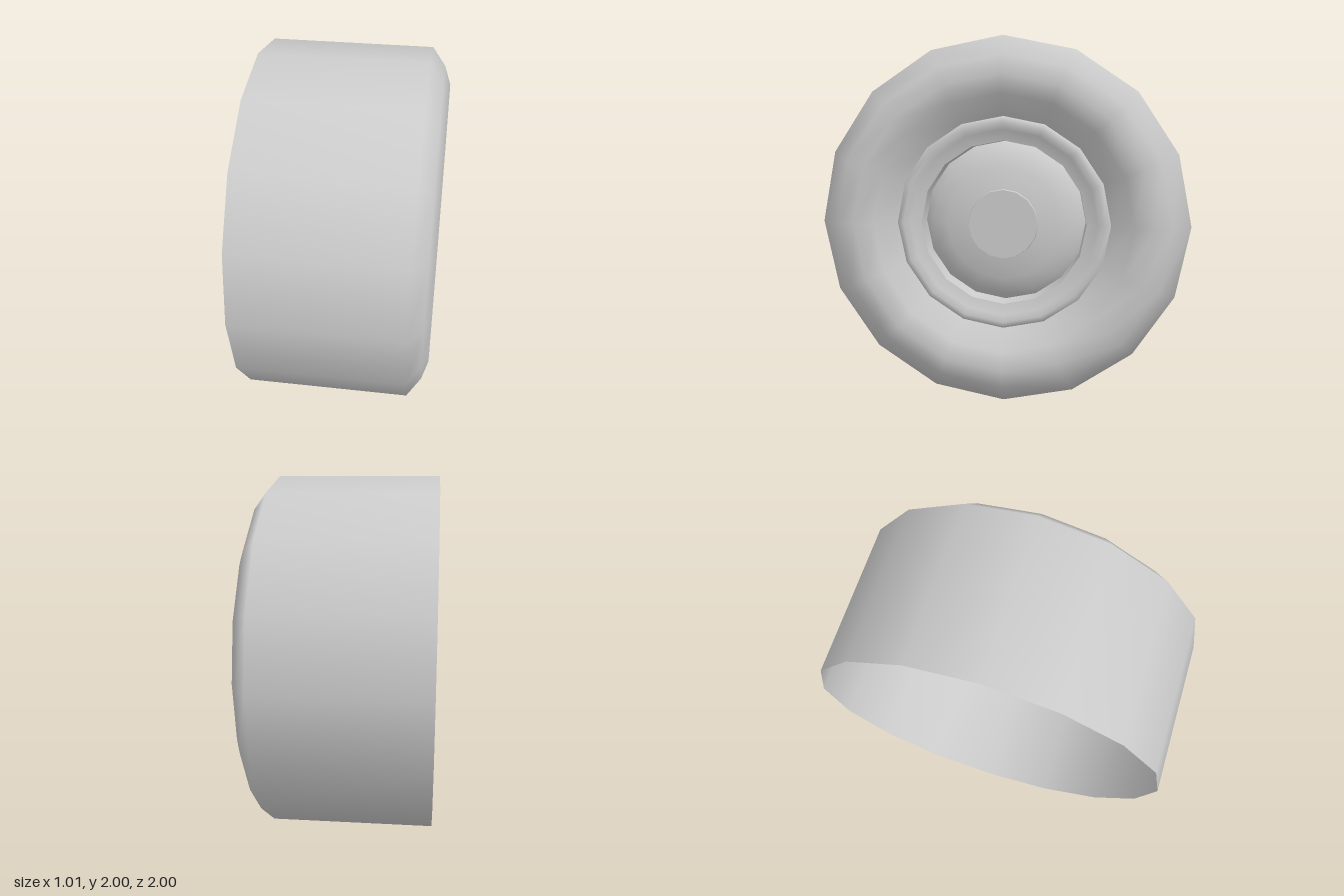
import * as THREE from 'three';

const SIDES = 16;

// Revolves a profile of [radius, x] pairs about the wheel's x axis.
// Profiles run from the open back towards the hub so that faces point outward;
// every part is an open shell, so both sides are shown.
function revolve(name, profile) {
  const points = profile.map(([r, x]) => new THREE.Vector2(r, x));
  const geometry = new THREE.LatheGeometry(points, SIDES);
  geometry.rotateZ(-Math.PI / 2);
  const material = new THREE.MeshStandardMaterial({ color: 0xcccccc, side: THREE.DoubleSide });
  const mesh = new THREE.Mesh(geometry, material);
  mesh.name = name;
  return mesh;
}

export function createModel() {
  const wheel = new THREE.Group();
  wheel.name = 'wheel';

  // Open-backed tyre: tread, rounded shoulder, sidewall sloping in to the rim
  wheel.add(revolve('tyre', [
    [1, -0.505], [1, 0.395], [0.9, 0.47], [0.8, 0.505], [0.7, 0.475], [0.58, 0.39],
  ]));

  // Raised rim lip around the hub
  wheel.add(revolve('rimLip', [
    [0.58, 0.39], [0.58, 0.405], [0.545, 0.425], [0.51, 0.4], [0.45, 0.385],
  ]));

  // Wall of the recess behind the lip
  wheel.add(revolve('rimWall', [[0.45, 0.385], [0.443, 0.29]]));

  // Domed wheel disc
  wheel.add(revolve('wheelDisc', [
    [0.443, 0.29], [0.4, 0.335], [0.31, 0.375], [0.19, 0.395],
  ]));

  // Slightly raised flat centre cap
  wheel.add(revolve('centreCapEdge', [[0.19, 0.395], [0.187, 0.41]]));
  wheel.add(revolve('centreCap', [[0.187, 0.41], [0, 0.41]]));

  wheel.position.y = 1;
  const model = new THREE.Group();
  model.name = 'wheelModel';
  model.add(wheel);
  return model;
}
